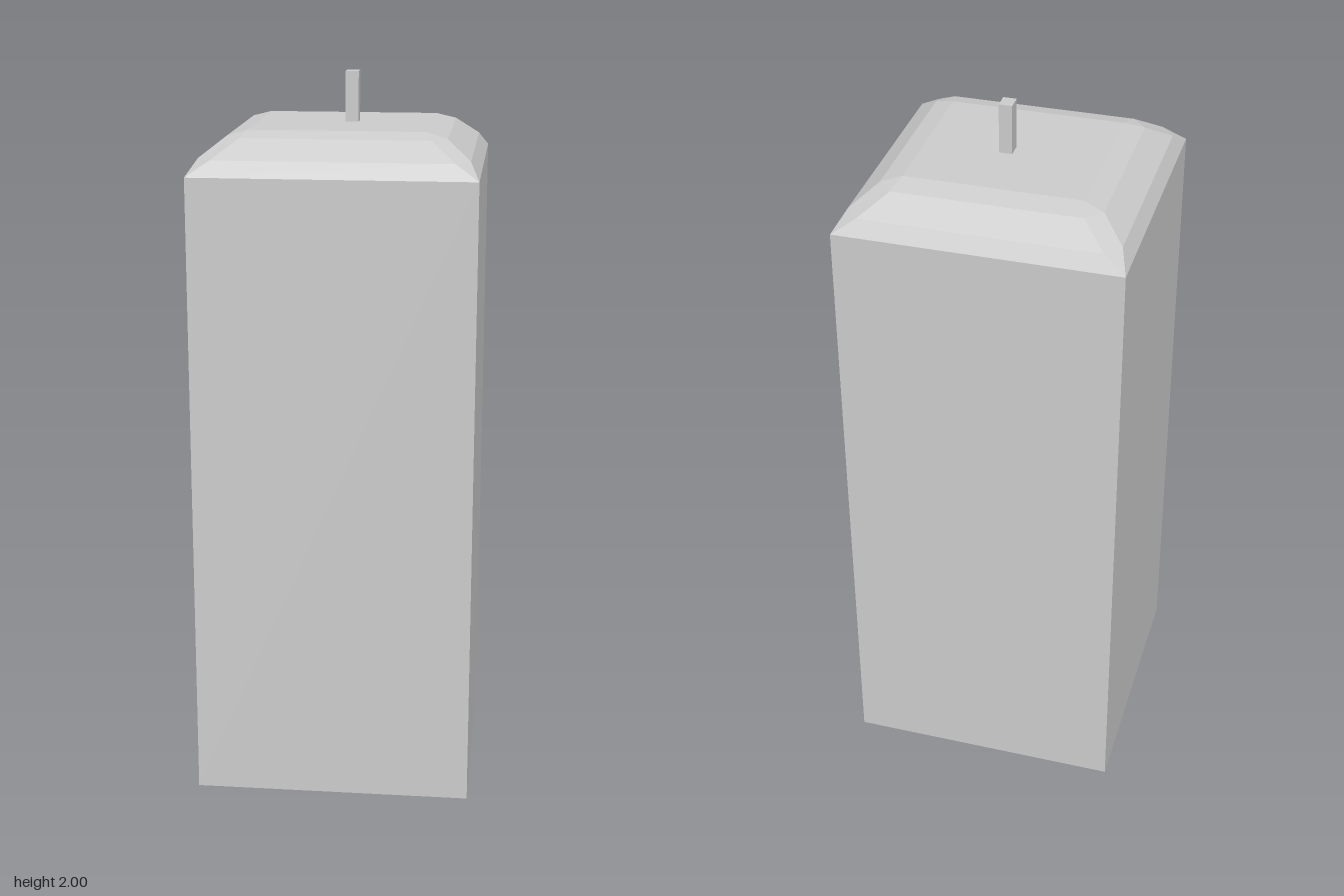
import * as THREE from 'three';

// Each ring: height, then two corner points (side point x, z and front point x, z)
const RINGS = [
  [0, 0.385, 0.378, 0.385, 0.378],
  [1.755, 0.385, 0.378, 0.385, 0.378],
  [1.797, 0.36, 0.307, 0.322, 0.351],
  [1.847, 0.295, 0.238, 0.254, 0.28],
  [1.862, 0.24, 0.22, 0.24, 0.22],
];

// Mirror the two corner points into a full ring of eight
function ringPoints([y, ax, az, bx, bz]) {
  const points = [];
  for (const [sx, sz] of [[1, 1], [-1, 1], [-1, -1], [1, -1]]) {
    const a = new THREE.Vector3(sx * ax, y, sz * az);
    const b = new THREE.Vector3(sx * bx, y, sz * bz);
    points.push(...(sx * sz > 0 ? [a, b] : [b, a]));
  }
  return points;
}

// Join the rings with quads and close both ends
function bodyGeometry() {
  const rings = RINGS.map(ringPoints);
  const positions = [];
  const tri = (a, b, c) => {
    if (a.equals(b) || b.equals(c) || a.equals(c)) return;
    for (const p of [a, b, c]) positions.push(p.x, p.y, p.z);
  };
  const top = rings[rings.length - 1];
  const bottom = rings[0];
  const topCentre = new THREE.Vector3(0, top[0].y, 0);
  const bottomCentre = new THREE.Vector3(0, 0, 0);
  for (let i = 0; i < 8; i++) {
    const j = (i + 1) % 8;
    for (let r = 0; r < rings.length - 1; r++) {
      const lower = rings[r], upper = rings[r + 1];
      tri(lower[i], upper[i], lower[j]);
      tri(lower[j], upper[i], upper[j]);
    }
    tri(topCentre, top[j], top[i]);
    tri(bottomCentre, bottom[i], bottom[j]);
  }
  const geometry = new THREE.BufferGeometry();
  geometry.setAttribute('position', new THREE.Float32BufferAttribute(positions, 3));
  geometry.computeVertexNormals();
  return geometry;
}

export function createModel() {
  const group = new THREE.Group();
  group.name = 'candle';
  const material = new THREE.MeshStandardMaterial({ color: 0xcccccc, flatShading: true });

  // Square wax block with a bevelled top
  const body = new THREE.Mesh(bodyGeometry(), material);
  body.name = 'waxBody';
  group.add(body);

  // Short square wick, slightly off centre
  const wick = new THREE.Mesh(new THREE.BoxGeometry(0.036, 0.145, 0.044), material);
  wick.name = 'wick';
  wick.position.set(0.019, 1.9275, -0.01);
  group.add(wick);

  return group;
}
